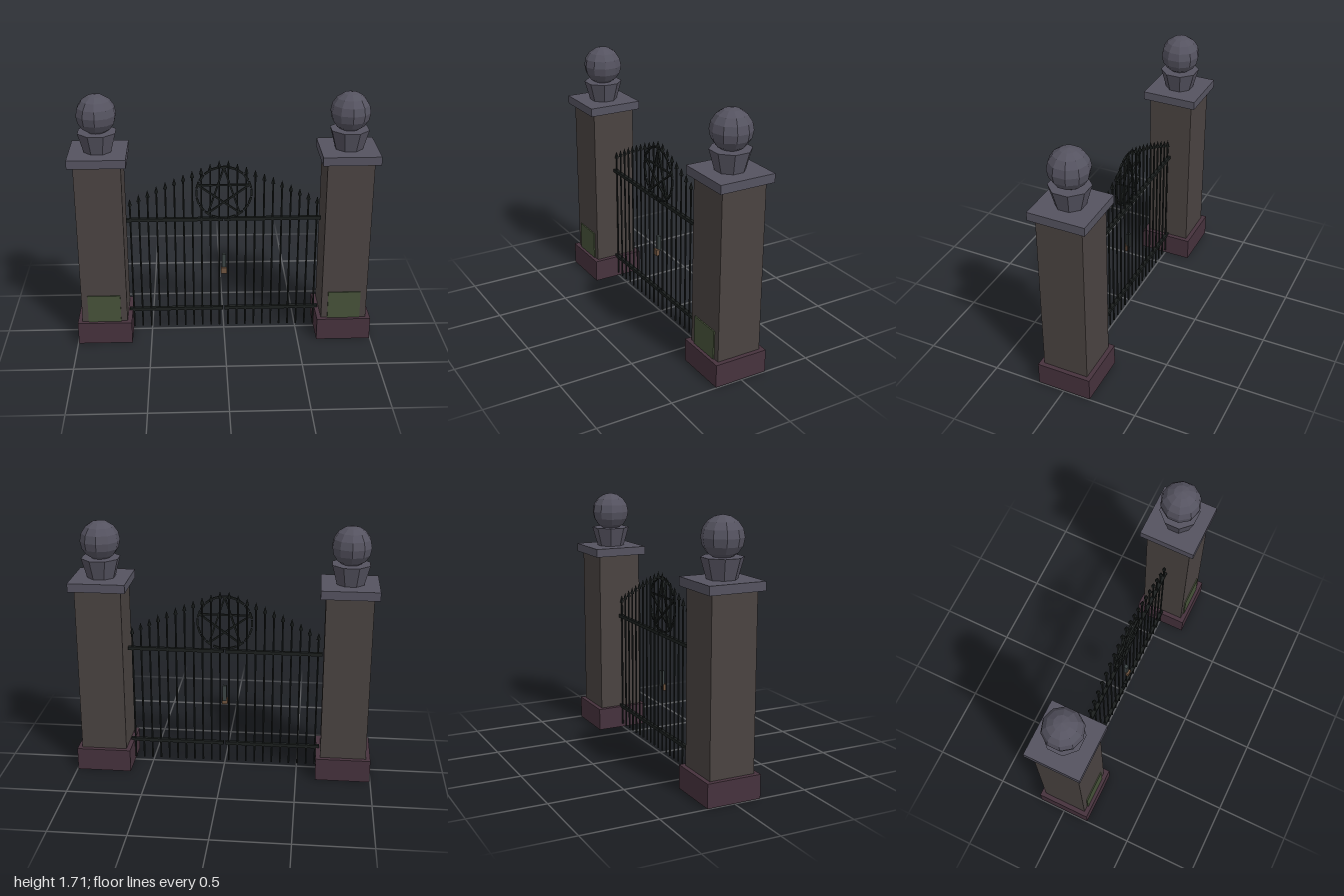
import * as THREE from 'three';

const mat = (color) => new THREE.MeshStandardMaterial({ color, flatShading: true });

export function createModel() {
  const root = new THREE.Group();
  const brick = mat(0x4a4341), cap = mat(0x555360), plinth = mat(0x46323d);
  const moss = mat(0x465239), iron = mat(0x1b1f1e), steel = mat(0x3c4444), brass = mat(0x705540);

  const add = (parent, name, geo, material, x, y, z = 0) => {
    const m = new THREE.Mesh(geo, material);
    m.name = name;
    m.position.set(x, y, z);
    parent.add(m);
    return m;
  };
  const box = (w, h, d) => new THREE.BoxGeometry(w, h, d);

  // Straight iron strip between two points in the gate plane
  const strip = (parent, name, x1, y1, x2, y2, w, z) => {
    const m = add(parent, name, box(Math.hypot(x2 - x1, y2 - y1), w, 0.012), iron,
      (x1 + x2) / 2, (y1 + y2) / 2, z);
    m.rotation.z = Math.atan2(y2 - y1, x2 - x1);
  };

  for (const s of [-1, 1]) {
    // Pillar with plinth, cap and ball finial
    const pillar = new THREE.Group();
    pillar.name = s > 0 ? 'leftPillar' : 'rightPillar';
    pillar.position.x = s * 0.8125;
    add(pillar, 'plinth', box(0.365, 0.155, 0.365), plinth, 0, 0.0775);
    add(pillar, 'shaft', box(0.305, 1.125, 0.305), brick, 0, 0.7175);
    add(pillar, 'capSlab', box(0.375, 0.057, 0.375), cap, 0, 1.3065);
    const neck = new THREE.CylinderGeometry(0.131, 0.094, 0.132, 8).rotateY(Math.PI / 8);
    add(pillar, 'finialNeck', neck, cap, 0, 1.4);
    const ball = new THREE.SphereGeometry(0.131, 10, 8).rotateY(Math.PI / 2);
    add(pillar, 'finialBall', ball, cap, 0, 1.58);
    add(pillar, 'mossPanel', box(0.22, 0.195, 0.012), moss, 0, 0.2525, 0.155);
    root.add(pillar);

    // Gate leaf: two rails and eleven spiked bars rising to the middle
    const leaf = new THREE.Group();
    leaf.name = s > 0 ? 'leftGateLeaf' : 'rightGateLeaf';
    for (const y of [0.16, 0.838]) add(leaf, 'rail', box(0.645, 0.022, 0.024), iron, s * 0.3285, y);
    for (let i = 0; i < 11; i++) {
      const t = i / 10, x = s * (0.03 + 0.593 * t);
      const tip = 1.255 - 0.265 * (0.8 * t + 0.2 * t * t);
      const h = tip - 0.045 - 0.025;
      add(leaf, 'bar', new THREE.CylinderGeometry(0.0065, 0.0065, h, 6), iron, x, 0.025 + h / 2);
      add(leaf, 'spike', new THREE.ConeGeometry(0.015, 0.048, 6), iron, x, tip - 0.024);
    }
    root.add(leaf);
  }

  // Five-pointed star within a broken ring
  const emblem = new THREE.Group();
  emblem.name = 'starEmblem';
  const cy = 1.033, at = (r, a) => [r * Math.sin(a), cy + r * Math.cos(a)];
  const step = Math.PI * 2 / 20;
  for (let i = 0; i < 20; i++) {
    strip(emblem, 'ringSegment', ...at(0.183, (i - 0.4) * step), ...at(0.183, (i + 0.4) * step), 0.013, 0.016);
  }
  for (let i = 0; i < 5; i++) {
    const a = i * Math.PI * 0.4;
    strip(emblem, 'starBar', ...at(0.178, a), ...at(0.178, a + Math.PI * 0.8), 0.011, 0.016);
  }
  root.add(emblem);

  // Latch plate and padlock
  add(root, 'latchPlate', box(0.026, 0.11, 0.024), steel, 0, 0.527, 0.014);
  add(root, 'padlock', box(0.038, 0.042, 0.024), brass, 0, 0.465, 0.028);
  return root;
}
